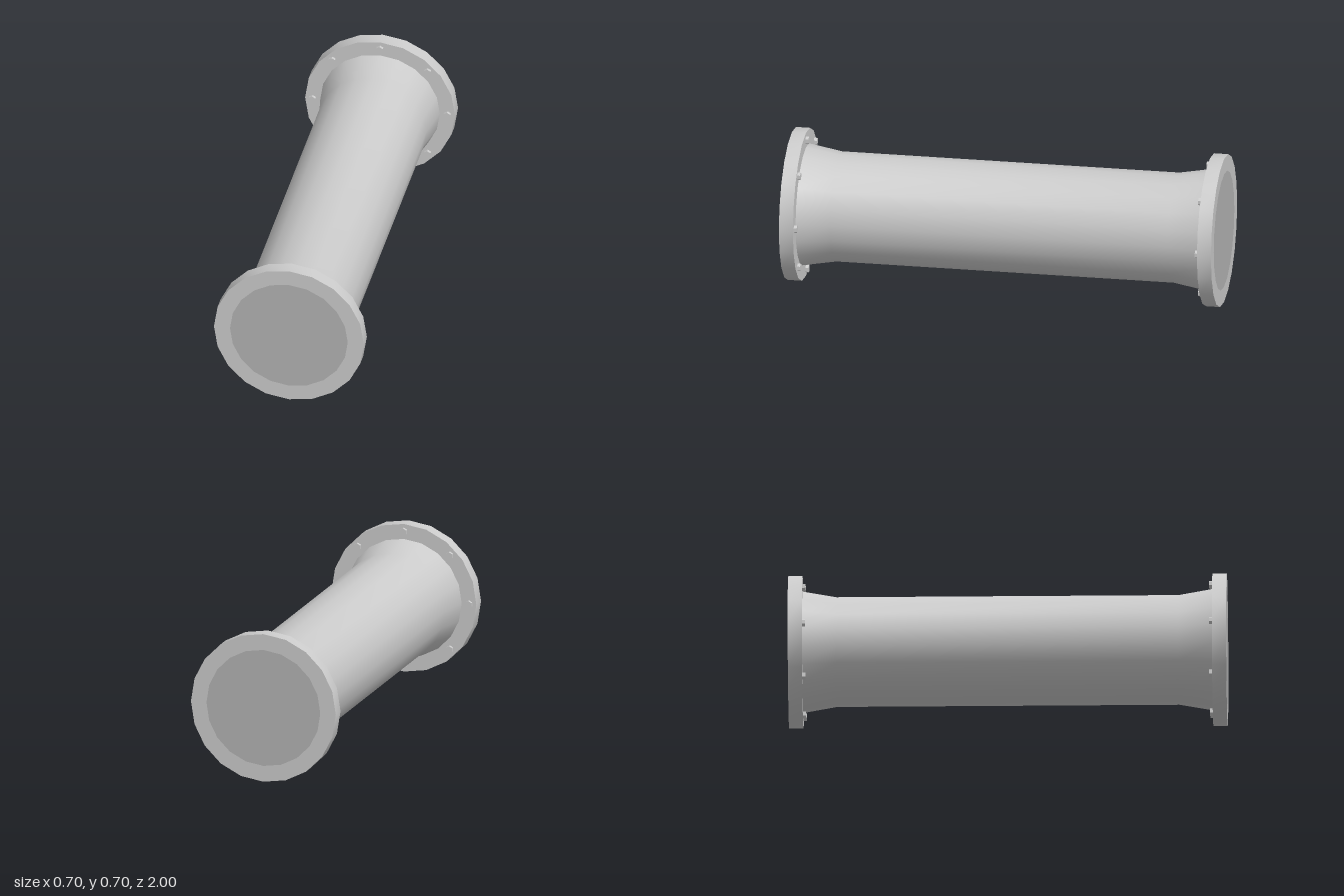
import * as THREE from 'three';
import { toCreasedNormals } from 'three/addons/utils/BufferGeometryUtils.js';

const SIDES = 20;
const AXIS_Y = 0.35;

const grey = new THREE.MeshStandardMaterial({ color: 0xcccccc });
const darkGrey = new THREE.MeshStandardMaterial({ color: 0xb4b4b4 });

// Turn a [radius, z] profile around the z axis, smooth around and sharp at hard corners
function turned(name, profile, material) {
  const points = profile.map(([r, z]) => new THREE.Vector2(r, z));
  const geometry = new THREE.LatheGeometry(points, SIDES).rotateX(Math.PI / 2);
  const mesh = new THREE.Mesh(toCreasedNormals(geometry, 0.5), material);
  mesh.name = name;
  return mesh;
}

// Flange ring, end disc and eight hex bolts at the +z end
function createEnd(name) {
  const end = new THREE.Group();
  end.name = name;
  end.add(turned('flange', [[0.275, 0.935], [0.35, 0.935], [0.35, 1], [0.275, 1]], grey));

  const disc = new THREE.Mesh(new THREE.CircleGeometry(0.275, SIDES), darkGrey);
  disc.name = 'endDisc';
  disc.position.z = 1;
  end.add(disc);

  const boltGeometry = new THREE.CylinderGeometry(0.018, 0.018, 0.03, 6).rotateX(Math.PI / 2);
  const boltMaterial = new THREE.MeshStandardMaterial({ color: 0xcccccc, flatShading: true });
  for (let i = 0; i < 8; i++) {
    const a = (i * Math.PI) / 4;
    const bolt = new THREE.Mesh(boltGeometry, boltMaterial);
    bolt.name = 'bolt';
    bolt.position.set(0.315 * Math.cos(a), 0.315 * Math.sin(a), 0.936);
    end.add(bolt);
  }
  return end;
}

export function createModel() {
  const model = new THREE.Group();
  model.name = 'flangedPipe';

  const pipe = new THREE.Group();
  pipe.name = 'pipe';
  pipe.position.y = AXIS_Y;
  model.add(pipe);

  // Straight barrel flaring out into both flanges
  pipe.add(turned('barrel', [[0.28, -0.94], [0.252, -0.78], [0.252, 0.78], [0.28, 0.94]], grey));

  const frontEnd = createEnd('frontEnd');
  const backEnd = createEnd('backEnd');
  backEnd.rotation.y = Math.PI;
  pipe.add(frontEnd, backEnd);
  return model;
}
